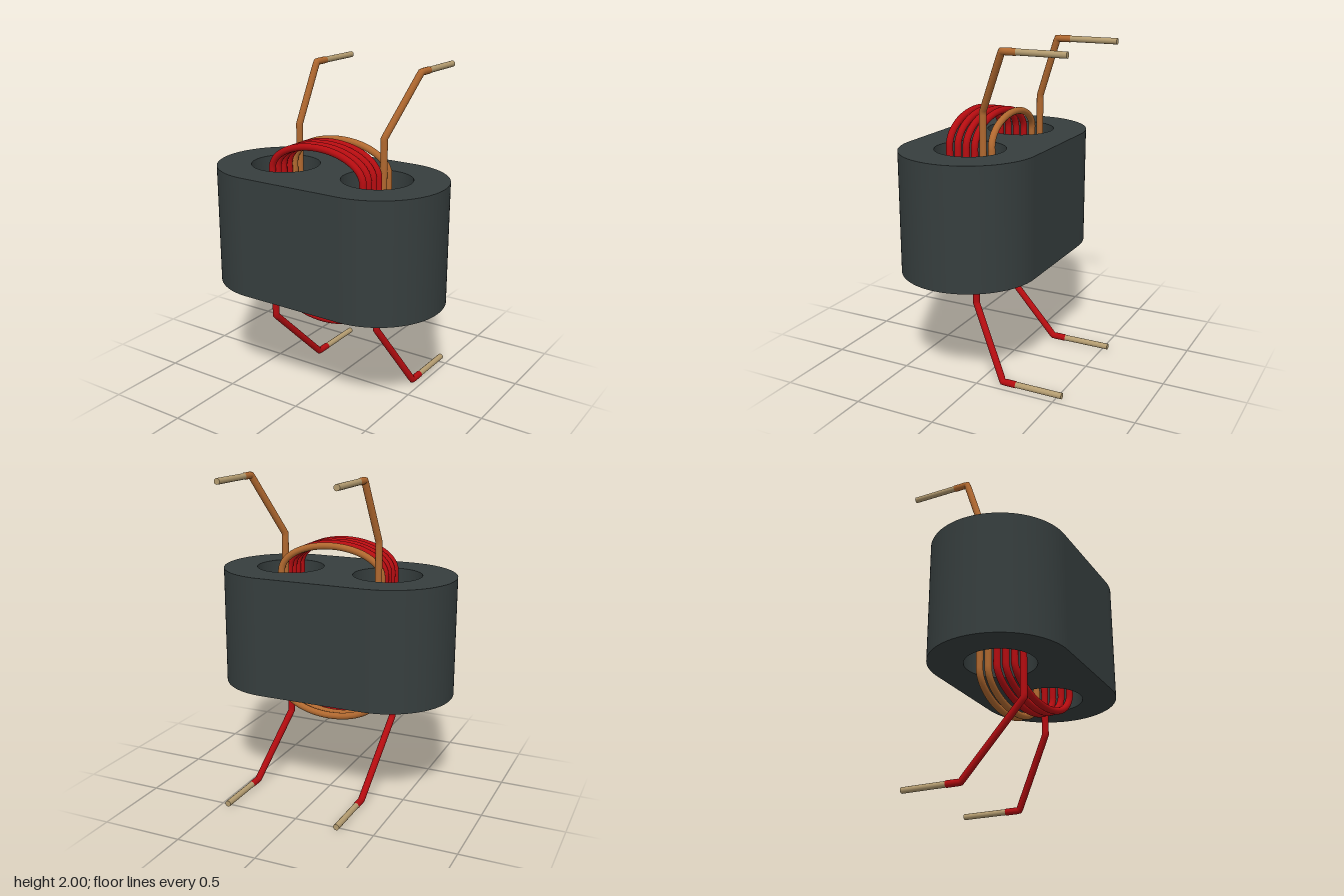
import * as THREE from 'three';
import { toCreasedNormals } from 'three/addons/utils/BufferGeometryUtils.js';

const CORE = { bottom: 0.66, top: 1.395, z: 0.12, outer: 0.415, hole: 0.21, x: 0.325 };
const WIRE_X = 0.32, WIRE_R = 0.021, TIP_Z = -0.535, BARE_Z = -0.24;

const v = (x, y, z) => new THREE.Vector3(x, y, z);

// Curve that passes exactly through its points, with mitred corners
class WirePath extends THREE.Curve {
  constructor(points) {
    super();
    this.points = points;
  }
  getPointAt(u, target = new THREE.Vector3()) {
    return target.copy(this.points[Math.round(u * (this.points.length - 1))]);
  }
  getPoint(u, target) {
    return this.getPointAt(u, target);
  }
  getTangentAt(u, target = new THREE.Vector3()) {
    const p = this.points, n = p.length - 1, i = Math.round(u * n);
    target.set(0, 0, 0);
    if (i > 0) target.add(p[i].clone().sub(p[i - 1]).normalize());
    if (i < n) target.add(p[i + 1].clone().sub(p[i]).normalize());
    return target.normalize();
  }
}

// Half ellipse over (+) or under (-) the bridge between the holes
function loopPoints(side, fromX, z0, z1) {
  const base = side > 0 ? CORE.top : CORE.bottom;
  const pts = [];
  for (let i = 0; i <= 28; i++) {
    const t = i / 28, a = t * Math.PI;
    pts.push(v(fromX * Math.cos(a), base + side * 0.168 * Math.sin(a), THREE.MathUtils.lerp(z0, z1, t)));
  }
  return pts;
}

// Lead from the hole to the stripped end, with extra points to keep bends crisp
function leadPoints(side, x, z) {
  const kneeY = side > 0 ? 1.615 : 0.435, endY = side > 0 ? 1.98 : 0.022;
  const endX = x < 0 ? -0.28 : 0.445;
  const knee = v(x, kneeY, z), elbow = v(endX, endY, -0.15);
  const near = (a, b) => a.clone().add(b.clone().sub(a).setLength(0.018));
  const root = v(x, side > 0 ? CORE.top : CORE.bottom, z), end = v(endX, endY, BARE_Z);
  return [root, near(knee, root), knee, near(knee, elbow),
    near(elbow, knee), elbow, near(elbow, end), end];
}

// leadSide: where the leads leave; zs: depth of each full turn
function buildWinding(name, leadSide, zs, insulation, tin) {
  const group = new THREE.Group();
  group.name = name;
  const start = leadPoints(leadSide, -WIRE_X, zs[0]);
  const finish = leadPoints(leadSide, WIRE_X, zs[zs.length - 1]);
  const pts = [...start.slice().reverse()];
  zs.forEach((z, i) => {
    pts.push(...loopPoints(-leadSide, -WIRE_X, z, z));
    if (i < zs.length - 1) pts.push(...loopPoints(leadSide, WIRE_X, z, zs[i + 1]));
  });
  pts.push(...finish);

  const wire = new THREE.Mesh(
    new THREE.TubeGeometry(new WirePath(pts), pts.length - 1, WIRE_R, 16), insulation);
  wire.name = name + 'Wire';
  group.add(wire);

  // Stripped wire ends
  for (const lead of [start, finish]) {
    const end = lead[lead.length - 1];
    const from = BARE_Z + 0.03;
    const tip = new THREE.Mesh(
      new THREE.CylinderGeometry(0.0185, 0.0185, from - TIP_Z, 16).rotateX(Math.PI / 2), tin);
    tip.position.set(end.x, end.y, (from + TIP_Z) / 2);
    tip.name = 'bareWireEnd';
    group.add(tip);
  }
  return group;
}

// Stadium-shaped core with two round holes
function buildCore(material) {
  const { x, outer, hole, bottom, top, z } = CORE;
  const shape = new THREE.Shape();
  shape.absarc(x + 0.005, 0, outer, -Math.PI / 2, Math.PI / 2, false);
  shape.absarc(-x - 0.005, 0, outer, Math.PI / 2, Math.PI * 1.5, false);
  shape.closePath();
  for (const s of [-1, 1]) {
    shape.holes.push(new THREE.Path().absarc(s * x, 0, hole, 0, Math.PI * 2, true));
  }
  const geometry = new THREE.ExtrudeGeometry(shape, {
    depth: top - bottom, bevelEnabled: false, curveSegments: 48,
  }).rotateX(-Math.PI / 2);
  const core = new THREE.Mesh(toCreasedNormals(geometry, 0.5), material);
  core.position.set(0, bottom, z);
  core.name = 'ferriteCore';
  return core;
}

export function createModel() {
  const material = (name, color) => {
    const m = new THREE.MeshStandardMaterial({ color });
    m.name = name;
    return m;
  };
  const ferrite = material('darkFerrite', 0x363e3e);
  const red = material('redEnamel', 0xb40c10);
  const copper = material('copperEnamel', 0xb0682f);
  const tin = material('tinnedWire', 0xb49c70);

  const model = new THREE.Group();
  model.name = 'binocularTransformer';
  model.add(
    buildCore(ferrite),
    buildWinding('primaryWinding', -1, [0.262, 0.206, 0.15, 0.094], red, tin),
    buildWinding('secondaryWinding', 1, [-0.018, 0.038], copper, tin),
  );
  return model;
}
